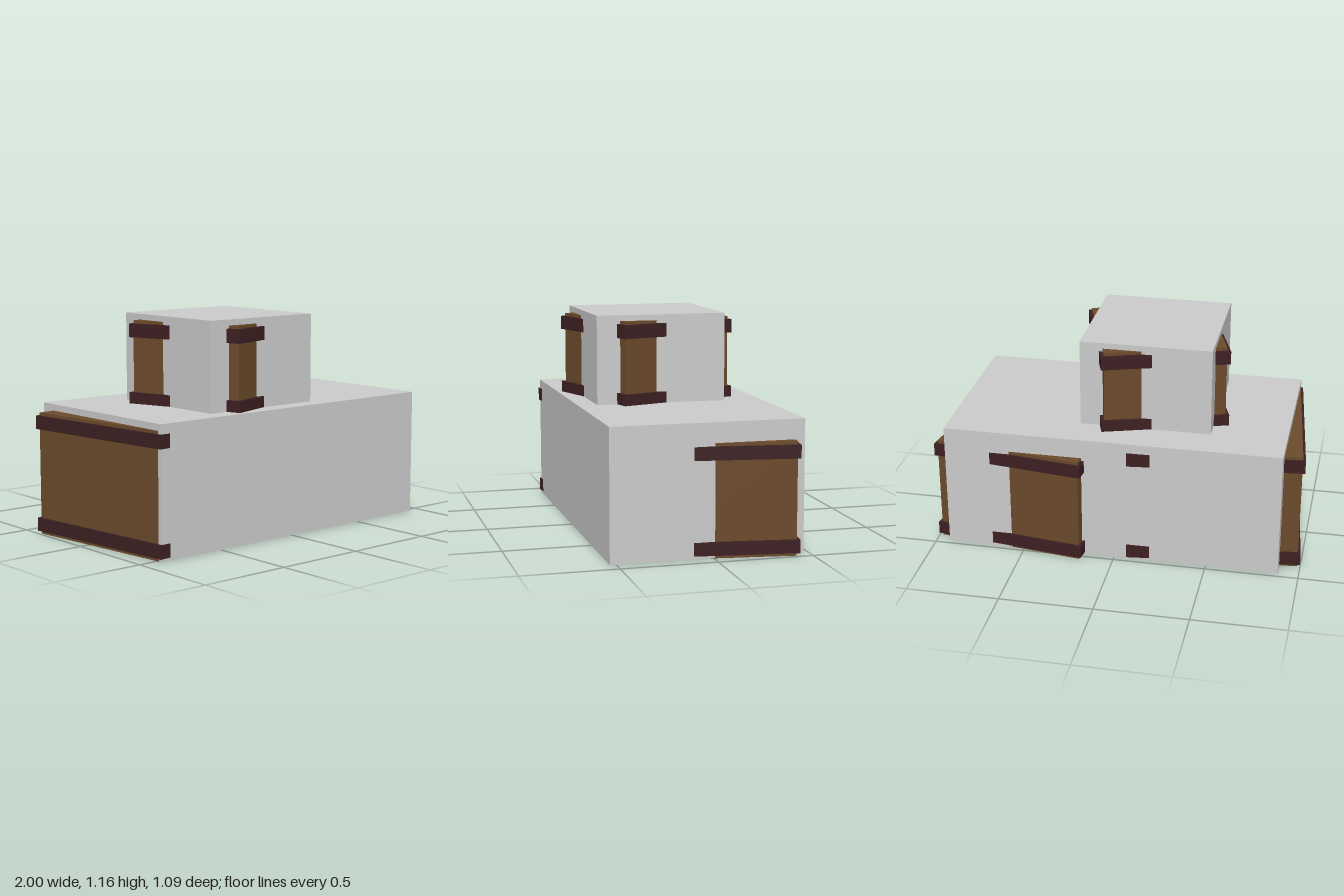
import * as THREE from 'three';

const wood = new THREE.MeshStandardMaterial({ color: 0x6b4a2b });
wood.name = 'wood brown';
const band = new THREE.MeshStandardMaterial({ color: 0x3d2022 });
band.name = 'dark red brown';
const grey = new THREE.MeshStandardMaterial({ color: 0xcbcbcb });
grey.name = 'light grey';

// Box given by its centre in x and z, and its bottom and top heights
function box(name, material, width, depth, bottom, top, x = 0, z = 0) {
  const mesh = new THREE.Mesh(new THREE.BoxGeometry(width, top - bottom, depth), material);
  mesh.name = name;
  mesh.position.set(x, (bottom + top) / 2, z);
  return mesh;
}

// Square wooden crate with a band near its bottom and one near its top
function crate(name, size, bandSize, height, bandHeight, x, y, z, turn) {
  const group = new THREE.Group();
  group.name = name;
  const gap = 0.016;
  group.add(
    box('crateBody', wood, size, size, 0, height),
    box('lowerBand', band, bandSize, bandSize, gap, gap + bandHeight),
    box('upperBand', band, bandSize, bandSize, height - gap - bandHeight, height - gap)
  );
  group.position.set(x, y, z);
  group.rotation.y = turn;
  return group;
}

export function createModel() {
  const model = new THREE.Group();
  model.name = 'crateStack';

  // Three turned crates, two on the ground and one on top
  model.add(
    crate('rightCrate', 0.908, 0.936, 0.655, 0.072, -0.485, 0, 0.027, 0.107),
    crate('leftCrate', 0.808, 0.838, 0.585, 0.069, 0.527, 0, -0.073, -0.138),
    crate('topCrate', 0.652, 0.686, 0.473, 0.073, -0.132, 0.661, 0.078, 0.312)
  );

  // Plain blocks around the crates; the lower one sits a hair above the crate bottoms
  model.add(
    box('lowerBlock', grey, 1.815, 1.01, 0.002, 0.69, 0.018, 0.03),
    box('upperBlock', grey, 0.705, 0.705, 0.66, 1.165, -0.132, 0.081)
  );
  return model;
}
